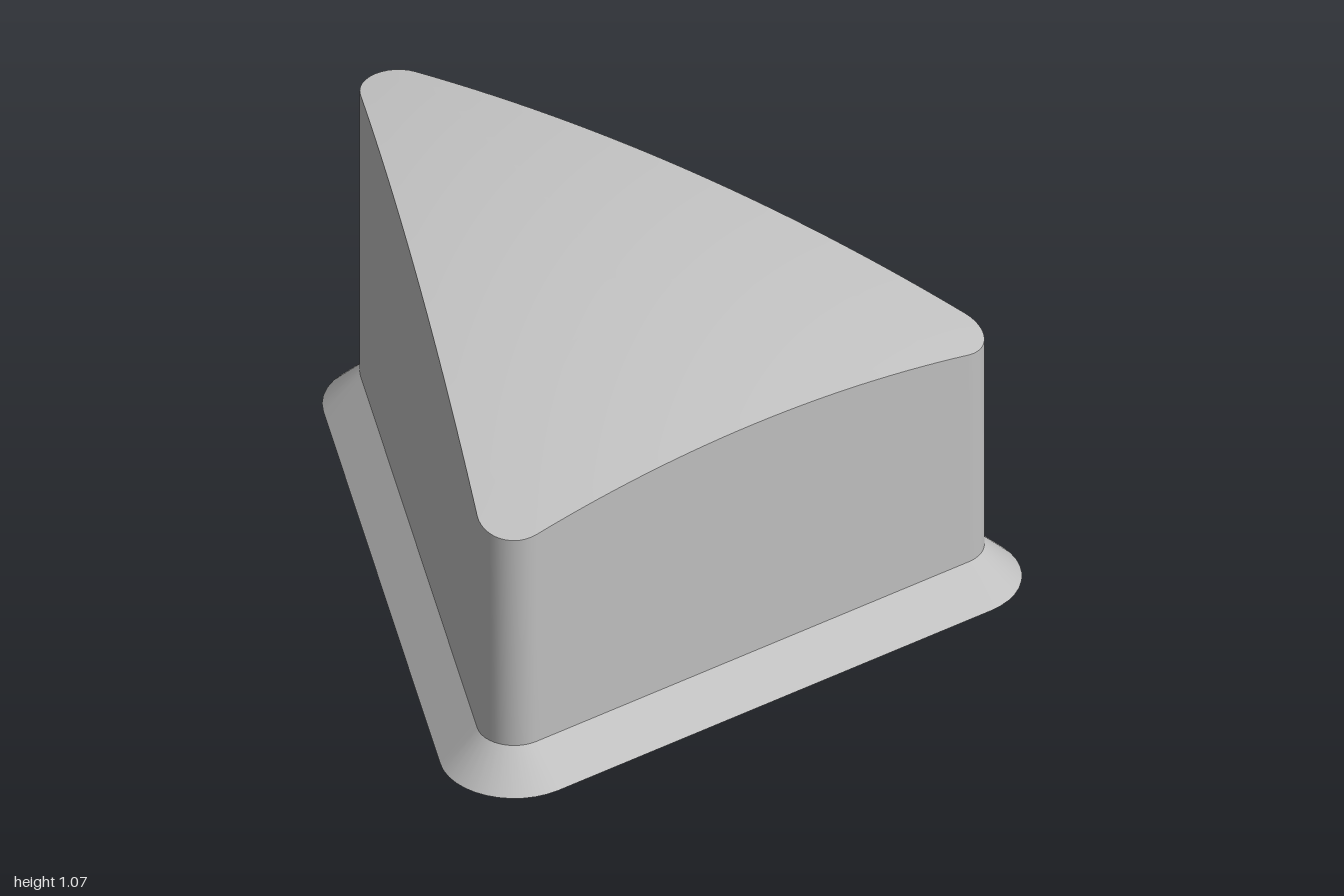
import * as THREE from 'three';

const HX = 0.79, HZ = 0.745;          // corner centres of the triangle
const INNER = 0.105, OUTER = 0.21;    // corner radii of the wall and the foot
const FOOT = 0.107;                   // height of the flared foot
const ARC = 12, SIDE = 28;            // steps per corner and per side

// Height of the gently domed top
const dome = (x, z) => 1.07 - (x + 0.57) ** 2 / 11.2 - z * z / 8.1;

// Rounded triangle outline as [x, z] pairs, with subdivided straight sides
function outline(radius) {
  const a = Math.atan2(2 * HX, -HZ);
  const corners = [[HX, HZ, 0, a], [-HX, 0, a, 2 * Math.PI - a], [HX, -HZ, -a, 0]];
  const at = ([x, z], t) => [x + radius * Math.cos(t), z + radius * Math.sin(t)];
  const pts = [];
  corners.forEach((c, k) => {
    for (let i = 0; i <= ARC; i++) pts.push(at(c, c[2] + (c[3] - c[2]) * i / ARC));
    const next = corners[(k + 1) % 3];
    const p = at(c, c[3]), q = at(next, next[2]);
    for (let i = 1; i < SIDE; i++) {
      const s = i / SIDE;
      pts.push([p[0] + (q[0] - p[0]) * s, p[1] + (q[1] - p[1]) * s]);
    }
  });
  return pts;
}

// Skin a list of closed rings
function loft(rings) {
  const n = rings[0].length, index = [];
  for (let r = 0; r < rings.length - 1; r++) {
    for (let i = 0; i < n; i++) {
      const a = r * n + i, b = r * n + (i + 1) % n;
      index.push(a, a + n, b + n, a, b + n, b);
    }
  }
  const geo = new THREE.BufferGeometry();
  geo.setAttribute('position', new THREE.Float32BufferAttribute(rings.flat(2), 3));
  geo.setIndex(index);
  geo.computeVertexNormals();
  return geo;
}

export function createModel() {
  const group = new THREE.Group();
  const grey = new THREE.MeshStandardMaterial({ color: 0xc0c0c0 });
  grey.name = 'plain grey';

  const inner = outline(INNER), outer = outline(OUTER);
  const level = (pts, y) => pts.map(([x, z]) => [x, y, z]);
  const add = (name, rings) => {
    const mesh = new THREE.Mesh(loft(rings), grey);
    mesh.name = name;
    group.add(mesh);
  };

  // Flat underside
  add('underside', [outer.map(() => [0.25, 0, 0]), level(outer, 0)]);

  // Flared foot
  add('foot', [level(outer, 0), level(inner, FOOT)]);

  // Upright wall, trimmed by the dome
  add('wall', [level(inner, FOOT), inner.map(([x, z]) => [x, dome(x, z), z])]);

  // Domed top, rings shrinking towards the middle
  const steps = 16, cx = 0.25, top = [];
  for (let k = 0; k <= steps; k++) {
    const s = 1 - k / steps;
    top.push(inner.map(([px, pz]) => {
      const x = cx + (px - cx) * s, z = pz * s;
      return [x, dome(x, z), z];
    }));
  }
  add('domedTop', top);

  return group;
}
